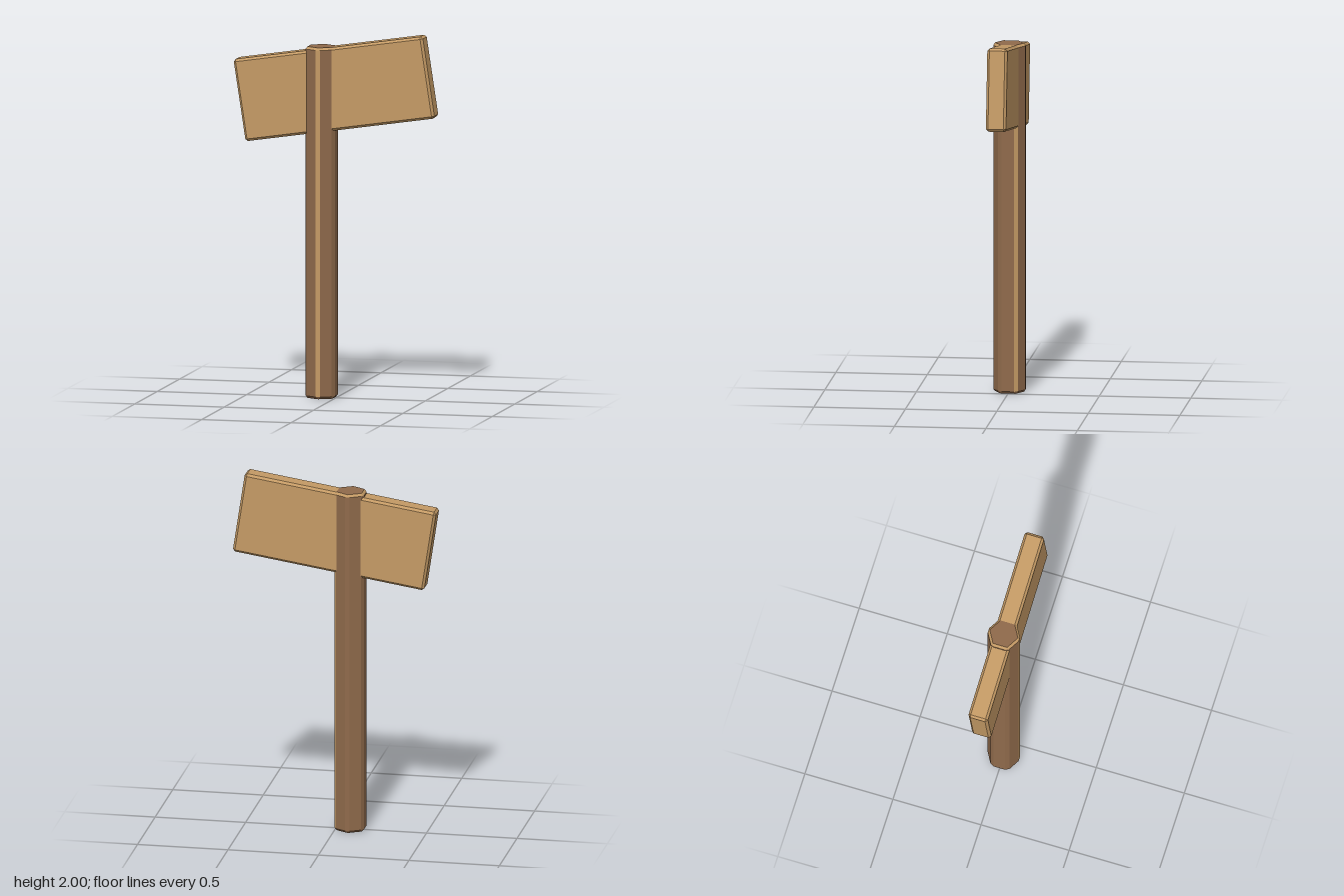
import * as THREE from 'three';
import { ConvexGeometry } from 'three/addons/geometries/ConvexGeometry.js';

// Box with every edge chamfered by c
function chamferBox(w, h, d, c) {
  const pts = [];
  for (const sx of [-1, 1]) for (const sy of [-1, 1]) for (const sz of [-1, 1]) {
    const x = w / 2, y = h / 2, z = d / 2;
    pts.push(
      new THREE.Vector3(sx * x, sy * (y - c), sz * (z - c)),
      new THREE.Vector3(sx * (x - c), sy * y, sz * (z - c)),
      new THREE.Vector3(sx * (x - c), sy * (y - c), sz * z));
  }
  return new ConvexGeometry(pts);
}

// Hexagonal post with chamfered corners; group 0 is dark wood, group 1 pale wood
function postGeometry(height) {
  const apothem = 0.082, half = 0.033, capRadius = 0.08, bevel = 0.013;
  const outer = [], cap = [];
  for (let i = 0; i < 6; i++) {
    // side i faces angle a; its two corners lie half a width either way
    const a = i * Math.PI / 3;
    for (const s of [-1, 1]) {
      outer.push([apothem * Math.cos(a) - s * half * Math.sin(a), apothem * Math.sin(a) + s * half * Math.cos(a)]);
      const b = a + s * Math.PI / 6;
      cap.push([capRadius * Math.cos(b), capRadius * Math.sin(b)]);
    }
  }
  const rings = [[cap, 0], [outer, bevel], [outer, height - bevel], [cap, height]];
  const faces = [[], []];
  const at = (r, i) => [rings[r][0][i % 12][0], rings[r][1], rings[r][0][i % 12][1]];
  for (let i = 0; i < 12; i++) {
    for (let r = 0; r < 3; r++) {
      // pale wood: top rim, the front edge and one back side edge
      const pale = r === 2 || (r === 1 && (i === 3 || i === 11));
      const a = at(r, i), b = at(r, i + 1), c = at(r + 1, i + 1), d = at(r + 1, i);
      const out = faces[pale ? 1 : 0];
      if (r === 0 && i % 2) out.push(...a, ...d, ...c);
      else if (r === 2 && i % 2) out.push(...a, ...c, ...b);
      else out.push(...a, ...c, ...b, ...a, ...d, ...c);
    }
    // end caps
    if (i % 2 === 0) {
      faces[0].push(0, 0, 0, ...at(0, i), ...at(0, i + 1));
      faces[0].push(0, height, 0, ...at(3, i + 1), ...at(3, i));
    }
  }
  const g = new THREE.BufferGeometry();
  g.setAttribute('position', new THREE.Float32BufferAttribute([...faces[0], ...faces[1]], 3));
  g.addGroup(0, faces[0].length / 3, 0);
  g.addGroup(faces[0].length / 3, faces[1].length / 3, 1);
  g.computeVertexNormals();
  return g;
}

export function createModel() {
  const darkWood = new THREE.MeshStandardMaterial({ color: 0x8f6a4b });
  darkWood.name = 'darkWood';
  const paleWood = new THREE.MeshStandardMaterial({ color: 0xc49a65 });
  paleWood.name = 'paleWood';

  const model = new THREE.Group();
  model.name = 'signpost';

  const post = new THREE.Mesh(postGeometry(1.925), [darkWood, paleWood]);
  post.name = 'post';
  post.position.x = -0.08;
  model.add(post);

  // Tilted board set through the post
  const board = new THREE.Mesh(chamferBox(1.07, 0.452, 0.11, 0.013), paleWood);
  board.name = 'board';
  board.position.set(0, 1.698, -0.001);
  board.rotation.z = 0.151;
  model.add(board);

  return model;
}
